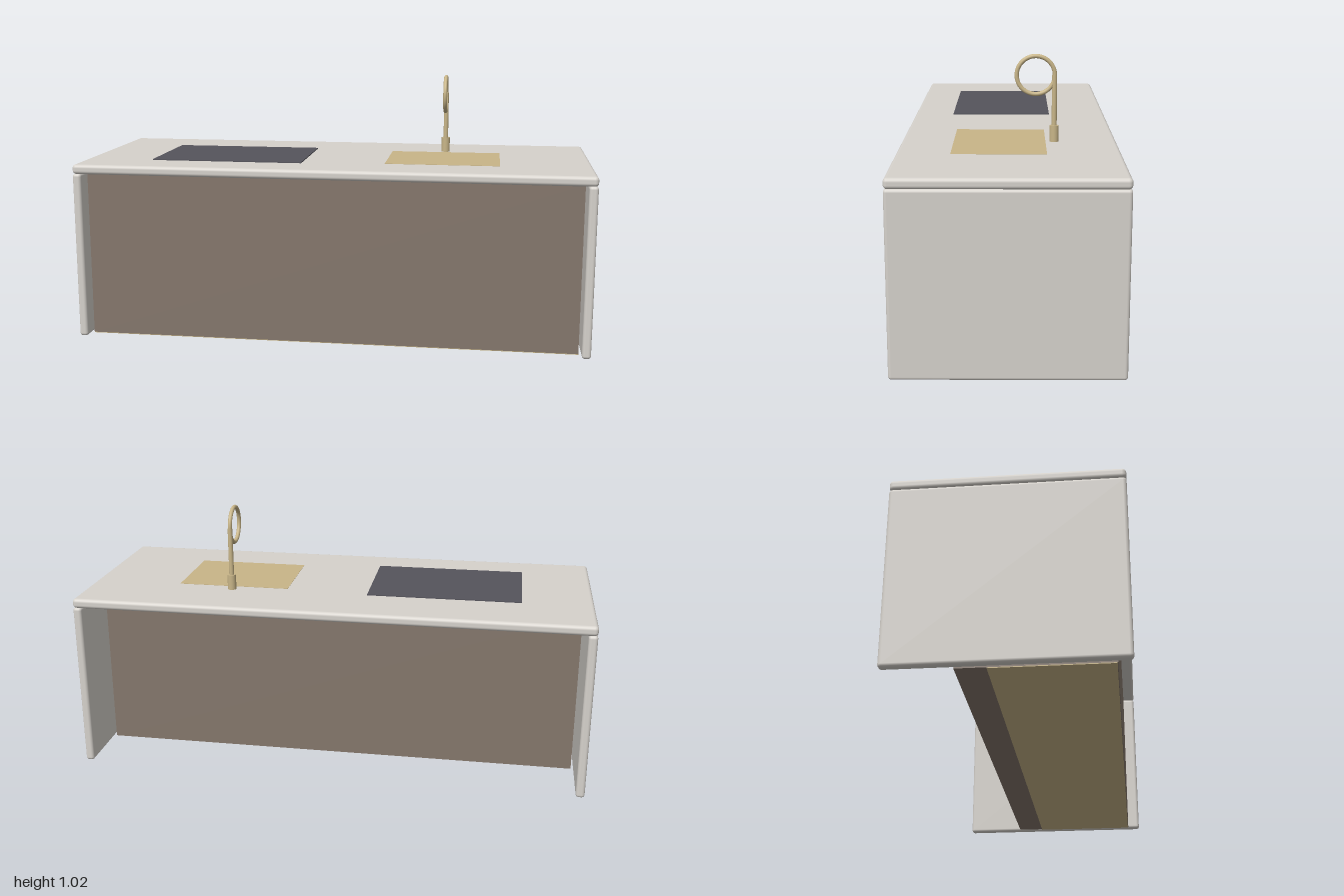
import * as THREE from 'three';
import { RoundedBoxGeometry } from 'three/addons/geometries/RoundedBoxGeometry.js';

const material = (color) => new THREE.MeshStandardMaterial({ color });

export function createModel() {
  const group = new THREE.Group();
  const stone = material(0xd6d2cc);
  const wood = material(0x85776c);
  const glass = material(0x55545c);
  const brass = material(0xc8b588);

  const add = (name, geometry, mat, x, y, z) => {
    const mesh = new THREE.Mesh(geometry, mat);
    mesh.name = name;
    mesh.position.set(x, y, z);
    group.add(mesh);
    return mesh;
  };

  // Box given by its lower and upper limits; a radius rounds its edges
  const block = (name, mat, [x0, x1], [y0, y1], [z0, z1], radius = 0) => {
    const size = [x1 - x0, y1 - y0, z1 - z0];
    const geometry = radius
      ? new RoundedBoxGeometry(...size, 4, radius)
      : new THREE.BoxGeometry(...size);
    return add(name, geometry, mat, (x0 + x1) / 2, (y0 + y1) / 2, (z0 + z1) / 2);
  };

  // Stone worktop and the two end panels that carry it
  const top = 0.693;
  block('worktop', stone, [-1, 1], [0.655, top], [-0.4, 0.4], 0.014);
  block('leftEndPanel', stone, [0.966, 1], [0, 0.657], [-0.4, 0.4], 0.012);
  block('rightEndPanel', stone, [-1, -0.966], [0, 0.657], [-0.4, 0.4], 0.012);

  // Cabinet body, set back further behind for the seating overhang
  block('cabinetBody', wood, [-0.957, 0.957], [0.003, 0.656], [-0.165, 0.35]);
  block('cabinetPlinth', brass, [-0.957, 0.957], [0, 0.006], [-0.06, 0.348]);

  // Hob and sink set in the worktop
  block('hob', glass, [-0.725, -0.125], [top - 0.005, top + 0.004], [-0.165, 0.238]);
  block('sink', brass, [0.2, 0.645], [top - 0.01, top + 0.001], [-0.135, 0.205]);

  // Tap: base, stem and ring spout
  const tapX = 0.42, tapZ = -0.167, ringY = 0.94;
  add('tapBase', new THREE.CylinderGeometry(0.017, 0.017, 0.06, 32), brass, tapX, top + 0.03, tapZ);
  const stemHeight = ringY - top;
  add('tapStem', new THREE.CylinderGeometry(0.0095, 0.0095, stemHeight, 24), brass,
    tapX, top + stemHeight / 2, tapZ);
  const ring = add('tapRing', new THREE.TorusGeometry(0.07, 0.008, 16, 64), brass, tapX, ringY, -0.098);
  ring.rotation.y = Math.PI / 2;

  return group;
}
